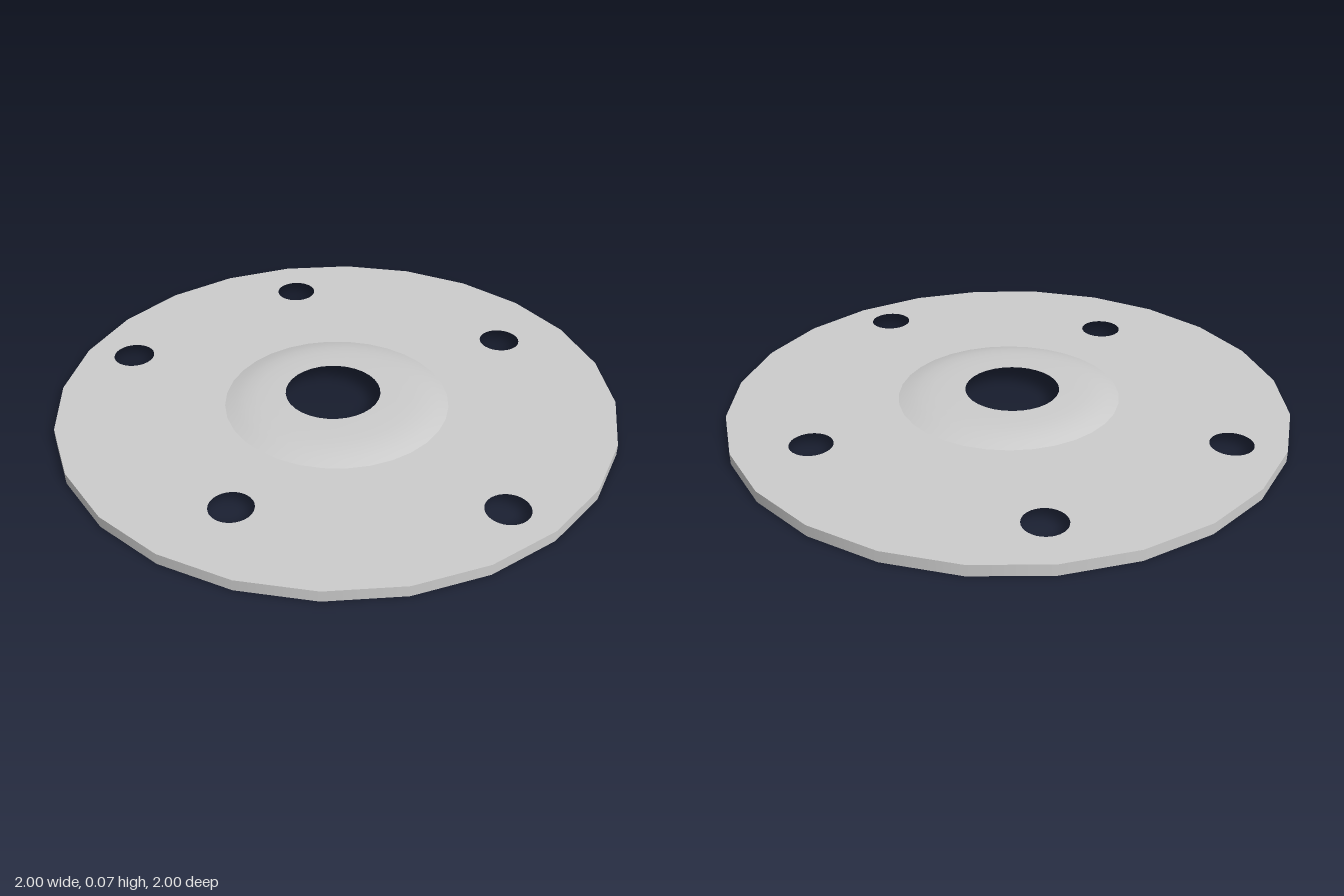
import * as THREE from 'three';

const SIDES = 24, DOME_SIDES = 32, TOP = 0.04;

// Points on a circle in plan, given as (x, -z) for a shape that is later laid flat
function circle(x, z, r, n) {
  return Array.from({ length: n }, (_, i) => {
    const a = (i / n) * Math.PI * 2;
    return new THREE.Vector2(x + r * Math.cos(a), -z + r * Math.sin(a));
  });
}

// Skin through stacked circular sections [x, z, radius, y]
function loft(sections, n) {
  const pos = [], index = [];
  sections.forEach(([x, z, r, y]) =>
    circle(x, z, r, n).forEach((p) => pos.push(p.x, y, -p.y)));
  for (let s = 0; s < sections.length - 1; s++) {
    for (let i = 0; i < n; i++) {
      const j = (i + 1) % n;
      const a = s * n + i, b = s * n + j, c = a + n, d = b + n;
      index.push(a, b, d, a, d, c);
    }
  }
  const g = new THREE.BufferGeometry();
  g.setAttribute('position', new THREE.Float32BufferAttribute(pos, 3));
  g.setIndex(index);
  g.computeVertexNormals();
  return g;
}

export function createModel() {
  const model = new THREE.Group();
  model.name = 'flangedDisc';
  const material = new THREE.MeshStandardMaterial({ color: 0xcccccc, side: THREE.DoubleSide });
  const add = (name, geometry) => {
    const mesh = new THREE.Mesh(geometry, material);
    mesh.name = name;
    model.add(mesh);
    return mesh;
  };

  // Thin flat plate with five bolt holes and an opening under the dome
  const plate = new THREE.Shape(circle(0, 0, 1, SIDES));
  const boltHoles = [[-0.396, -0.684], [0.489, -0.553], [-0.818, -0.021], [0.706, 0.444], [-0.126, 0.698]];
  for (const [x, z] of boltHoles) plate.holes.push(new THREE.Path(circle(x, z, 0.075, 32)));
  plate.holes.push(new THREE.Path(circle(0.01, 0.03, 0.4, DOME_SIDES)));
  add('plate', new THREE.ShapeGeometry(plate).rotateX(-Math.PI / 2).translate(0, TOP, 0));

  // Turned-down outer rim, open underneath
  add('rim', new THREE.CylinderGeometry(1, 1, TOP, SIDES, 1, true)).position.y = TOP / 2;

  // Shallow raised dome around the centre hole, hollow below
  add('dome', loft([
    [0.01, 0.03, 0.4, TOP],
    [0.01, 0.03, 0.365, 0.052],
    [0.008, 0.03, 0.325, 0.061],
    [0.005, 0.03, 0.28, 0.066],
    [0, 0.027, 0.225, 0.068],
    [-0.006, 0.024, 0.17, 0.069],
  ], DOME_SIDES));

  return model;
}
